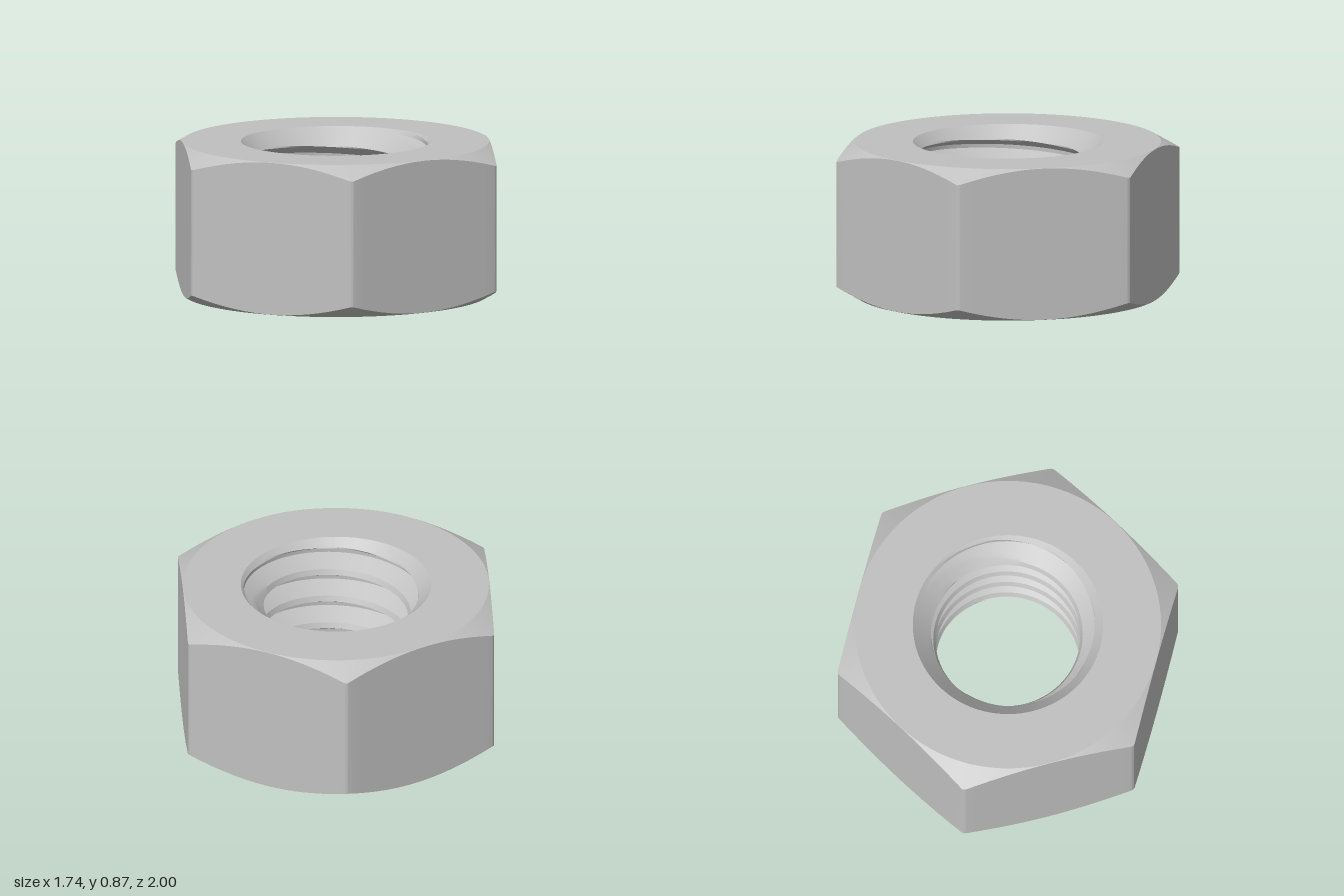
import * as THREE from 'three';
import { toCreasedNormals } from 'three/addons/utils/BufferGeometryUtils.js';

const H = 0.874;            // height
const FLAT = 0.87;          // centre to flat
const FILLET = 0.03;        // rounding of the six upright edges
const BEVEL = 0.868;        // radius where the outer bevel starts
const MOUTH = 0.54;         // radius of the hole at both faces
const MAJOR = 0.522, MINOR = 0.41, PITCH = 0.174;
const TAU = Math.PI * 2;

// Angles around the axis, closer together at the rounded edges
const fc = (FLAT - FILLET) / Math.cos(Math.PI / 6);
const dt = Math.atan((FILLET * 0.5) / (fc + FILLET * Math.cos(Math.PI / 6)));
const angles = [];
for (let k = 0; k < 6; k++) {
  const a = (k * TAU) / 6;
  for (let i = 0; i < 6; i++) angles.push(a - dt + (2 * dt * i) / 6);
  for (let i = 0; i < 16; i++) angles.push(a + dt + ((TAU / 6 - 2 * dt) * i) / 16);
}
angles.push(TAU - dt);

// Radius of the rounded hexagon, with corners towards +z and -z
function hexRadius(t) {
  const d = t - Math.round(t / (TAU / 6)) * (TAU / 6);
  if (Math.abs(d) < dt) {
    return fc * Math.cos(d) + Math.sqrt(FILLET ** 2 - (fc * Math.sin(d)) ** 2);
  }
  return FLAT / Math.cos(Math.PI / 6 - Math.abs(d));
}

// Surface from a profile of [radius, height] pairs that varies with angle
function sweep(profile) {
  const pos = [];
  const cols = angles.map((t) => profile(t).map(([r, y]) =>
    new THREE.Vector3(r * Math.sin(t), y, r * Math.cos(t))));
  const tri = (a, b, c) => {
    const n = b.clone().sub(a).cross(c.clone().sub(a));
    if (n.length() < 1e-9) return;
    for (const p of [a, b, c]) pos.push(p.x, p.y, p.z);
  };
  for (let i = 0; i < cols.length - 1; i++) {
    const A = cols[i], B = cols[i + 1];
    for (let j = 0; j < A.length - 1; j++) {
      tri(A[j], B[j], B[j + 1]);
      tri(A[j], B[j + 1], A[j + 1]);
    }
  }
  const g = new THREE.BufferGeometry();
  g.setAttribute('position', new THREE.Float32BufferAttribute(pos, 3));
  return toCreasedNormals(g, 0.4);
}

// Hexagonal body: bottom face, bevel, sides, bevel, top face
function bodyProfile(t) {
  const r = hexRadius(t);
  const drop = (r - BEVEL) * Math.tan(Math.PI / 6);
  return [[MOUTH, 0], [BEVEL, 0], [r, drop], [r, H - drop], [BEVEL, H], [MOUTH, H]];
}

// One thread turn, downwards: root, upper flank, crest, lower flank
const turn = [];
const flatW = PITCH / 8, flankW = (PITCH - 2 * flatW) / 2, STEPS = 8;
for (let i = 0; i < STEPS; i++) {
  turn.push([MAJOR + ((MINOR - MAJOR) * i) / STEPS, flatW + (flankW * i) / STEPS]);
}
for (let i = 0; i < STEPS; i++) {
  turn.push([MINOR + ((MAJOR - MINOR) * i) / STEPS, 2 * flatW + flankW + (flankW * i) / STEPS]);
}
turn.push([MAJOR, PITCH]);

// Right-handed thread, cut by a 45 degree countersink at each end
function threadProfile(t) {
  const rows = [[MOUTH, H]];
  const start = H - 0.022 + (PITCH * (t - Math.PI / 2)) / TAU;
  for (let k = -2; k < 7; k++) {
    for (const [r, down] of turn) {
      const y = THREE.MathUtils.clamp(start - k * PITCH - down, 0, H);
      rows.push([Math.max(r, MOUTH - y, MOUTH - (H - y)), y]);
    }
  }
  rows.push([MOUTH, 0]);
  return rows;
}

export function createModel() {
  const steel = new THREE.MeshStandardMaterial({ color: 0xc0c0c0 });
  steel.name = 'steel grey';
  const group = new THREE.Group();
  group.name = 'hexNut';
  const add = (name, profile) => {
    const mesh = new THREE.Mesh(sweep(profile), steel);
    mesh.name = name;
    group.add(mesh);
  };
  add('hexBody', bodyProfile);
  add('threadedHole', threadProfile);
  return group;
}
